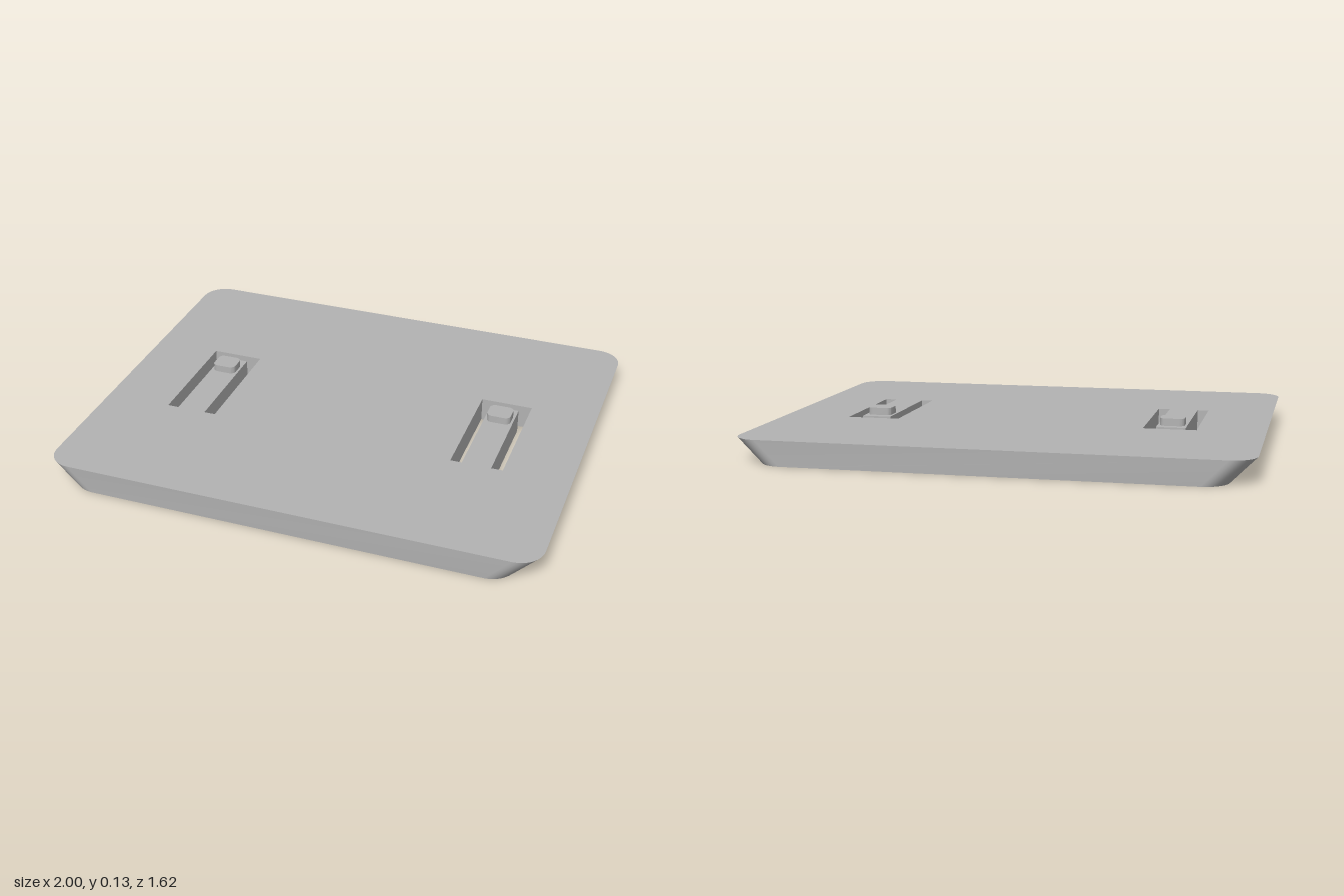
import * as THREE from 'three';
import { toCreasedNormals } from 'three/addons/utils/BufferGeometryUtils.js';

const HEIGHT = 0.1, INSET = 0.1, GROOVE_DEPTH = 0.04;

// Plan outlines are lists of Vector2 (x, -z), counter-clockwise.
function roundedRect(cx, cy, w, d, r, steps = 8) {
  const pts = [];
  [[1, 1], [-1, 1], [-1, -1], [1, -1]].forEach(([sx, sy], i) => {
    for (let k = 0; k <= steps; k++) {
      const a = (i + k / steps) * Math.PI / 2;
      pts.push(new THREE.Vector2(
        cx + sx * (w / 2 - r) + r * Math.cos(a),
        cy + sy * (d / 2 - r) + r * Math.sin(a)));
    }
  });
  return pts;
}

function rect(cx, cy, w, d) {
  return [[1, 1], [-1, 1], [-1, -1], [1, -1]].map(([sx, sy]) =>
    new THREE.Vector2(cx + sx * w / 2, cy + sy * d / 2));
}

// Flat face bounded by an outline, with holes, facing up or down
function cap(outline, holes, y, up = true) {
  const shape = new THREE.Shape(outline);
  shape.holes = holes.map(h => new THREE.Path(h));
  const geo = new THREE.ShapeGeometry(shape);
  if (!up) {
    geo.setIndex(Array.from(geo.index.array).reverse());
  }
  geo.rotateX(-Math.PI / 2).translate(0, y, 0);
  geo.computeVertexNormals();
  return geo;
}

// Strip joining two matching outlines; clockwise outlines face inward
function wall(lower, upper, y0, y1) {
  const pos = [];
  lower.forEach((p, i) => {
    const j = (i + 1) % lower.length;
    const a = [p.x, y0, -p.y], b = [lower[j].x, y0, -lower[j].y];
    const c = [upper[j].x, y1, -upper[j].y], d = [upper[i].x, y1, -upper[i].y];
    pos.push(...a, ...b, ...c, ...a, ...c, ...d);
  });
  const geo = new THREE.BufferGeometry();
  geo.setAttribute('position', new THREE.Float32BufferAttribute(pos, 3));
  return toCreasedNormals(geo, 0.5);
}

// U-shaped cut that leaves a spring tongue (clockwise)
function slot(cx) {
  return [[-0.107, -0.26], [-0.107, 0.23], [0.107, 0.23], [0.107, -0.26],
    [0.06, -0.26], [0.06, 0.19], [-0.06, 0.19], [-0.06, -0.26]]
    .map(([x, y]) => new THREE.Vector2(cx + x, y));
}

export function createModel() {
  const group = new THREE.Group();
  const grey = new THREE.MeshStandardMaterial({ color: 0xb2b2b2 });
  grey.name = 'grey plastic';
  const add = (name, geo, parent = group) => {
    const mesh = new THREE.Mesh(geo, grey);
    mesh.name = name;
    parent.add(mesh);
  };

  // Plate: sides lean in towards the bottom, front and back stay upright
  const top = roundedRect(0, 0, 2, 1.62, 0.1);
  const bottom = top.map(p => new THREE.Vector2(p.x - Math.sign(p.x) * INSET, p.y));
  const slots = [-0.618, 0.618].map(slot);
  const grooves = [0.4, 0.52, 0.64].map(z => rect(0, -z, 1.42, 0.04));

  const plate = new THREE.Group();
  plate.name = 'plate';
  group.add(plate);
  add('plateTop', cap(top, slots, HEIGHT), plate);
  add('plateBottom', cap(bottom, [...slots, ...grooves], 0, false), plate);
  add('plateRim', wall(bottom, top, 0, HEIGHT), plate);
  for (const s of slots) add('slotWalls', wall(s, s, 0, HEIGHT), plate);

  // Finger grooves in the underside
  for (const g of grooves) {
    const inward = [...g].reverse();
    add('grooveWalls', wall(inward, inward, 0, GROOVE_DEPTH), plate);
    add('grooveFloor', cap(g, [], GROOVE_DEPTH, false), plate);
  }

  // Latch button on each tongue
  for (const x of [-0.618, 0.618]) {
    const button = new THREE.Group();
    button.name = 'latchButton';
    group.add(button);
    const outline = roundedRect(x, 0.112, 0.1, 0.088, 0.022, 6);
    add('buttonSides', wall(outline, outline, HEIGHT, 0.13), button);
    add('buttonTop', cap(outline, [], 0.13), button);
  }

  return group;
}
